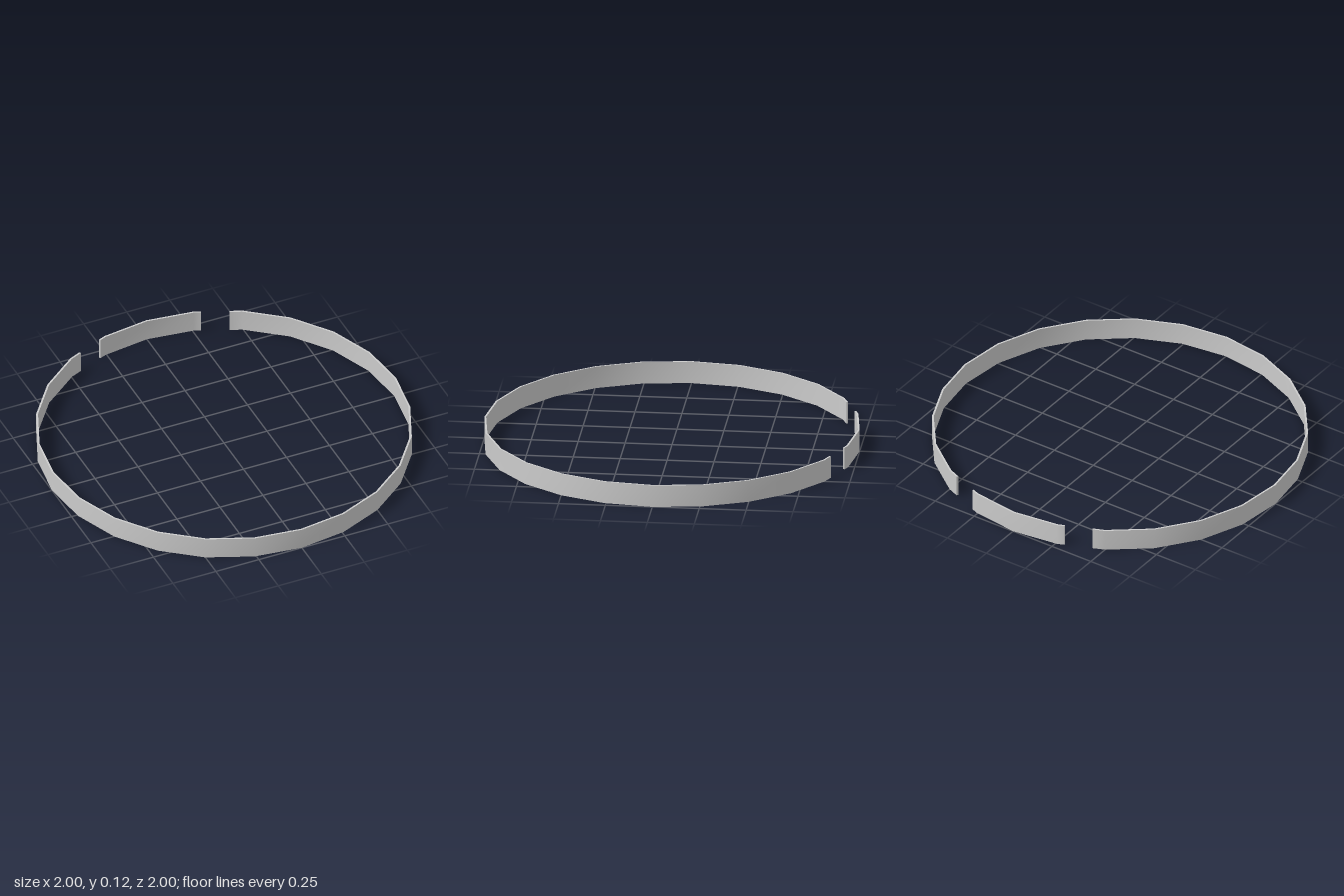
import * as THREE from 'three';

const SIDES = 24, HEIGHT = 0.12, OUTER = 1, INNER = 0.99;
const STEP = 360 / SIDES;
const rad = THREE.MathUtils.degToRad;

// Point on the 24-sided outline; the angle runs from the back (-z) towards +x
function ringPoint(deg, radius, y) {
  const within = ((deg % STEP) + STEP) % STEP;
  const r = radius * Math.cos(rad(STEP / 2)) / Math.cos(rad(within - STEP / 2));
  return [r * Math.sin(rad(deg)), y, -r * Math.cos(rad(deg))];
}

// Solid band between two angles, smooth along its length, with sharp edges
function bandGeometry(from, to) {
  const angles = [from];
  for (let k = Math.ceil(from / STEP); k * STEP < to; k++) angles.push(k * STEP);
  angles.push(to);

  const section = [[OUTER, HEIGHT], [OUTER, 0], [INNER, 0], [INNER, HEIGHT]];
  const position = [], index = [];

  // Outer wall, bottom, inner wall and top, each a separate strip
  section.forEach((a, side) => {
    const b = section[(side + 1) % 4];
    const base = position.length / 3;
    angles.forEach((deg, i) => {
      position.push(...ringPoint(deg, ...a), ...ringPoint(deg, ...b));
      if (i === 0) return;
      const p = base + 2 * (i - 1);
      index.push(p, p + 2, p + 3, p, p + 3, p + 1);
    });
  });

  // End caps
  [from, to].forEach((deg, end) => {
    const c = position.length / 3;
    section.forEach((s) => position.push(...ringPoint(deg, ...s)));
    index.push(...(end ? [c, c + 2, c + 1, c, c + 3, c + 2] : [c, c + 1, c + 2, c, c + 2, c + 3]));
  });

  const geometry = new THREE.BufferGeometry();
  geometry.setAttribute('position', new THREE.Float32BufferAttribute(position, 3));
  geometry.setIndex(index);
  geometry.computeVertexNormals();
  return geometry;
}

export function createModel() {
  const group = new THREE.Group();
  group.name = 'splitRing';
  const material = new THREE.MeshStandardMaterial({ color: 0xcccccc });

  // Long band round the front and sides, short band between the two back gaps
  const bands = { mainBand: [26.05, 333.95], backBand: [-17.3, 17.3] };
  for (const [name, [from, to]] of Object.entries(bands)) {
    const mesh = new THREE.Mesh(bandGeometry(from, to), material);
    mesh.name = name;
    group.add(mesh);
  }
  return group;
}
